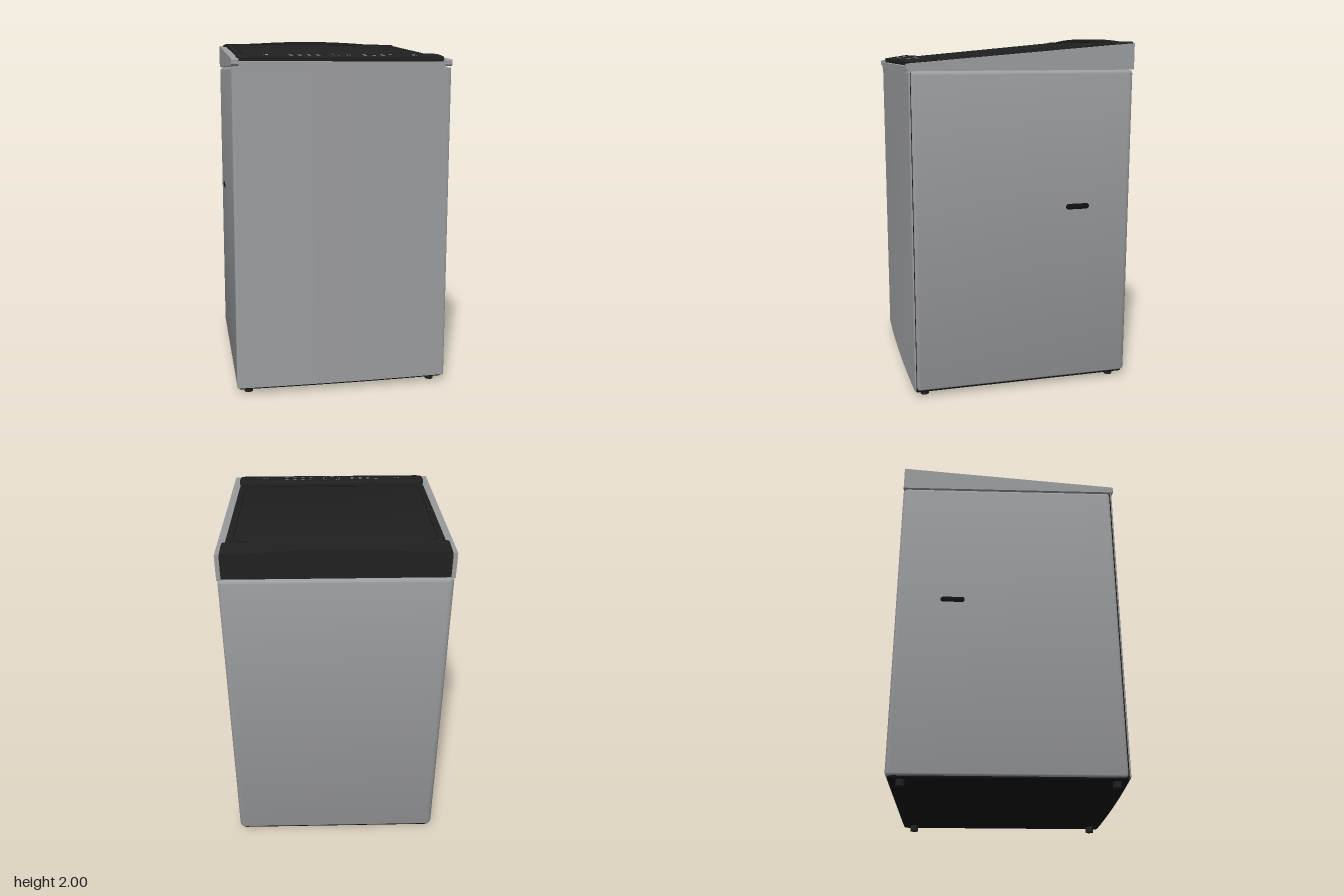
import * as THREE from 'three';
import { toCreasedNormals } from 'three/addons/utils/BufferGeometryUtils.js';

const material = (name, color) => {
  const m = new THREE.MeshStandardMaterial({ color });
  m.name = name;
  return m;
};

// Plan outline with rounded corners and an optional bowed front (shape y is -z).
function plan(w, zBack, zFront, rBack, rFrontX, rFrontZ = rFrontX, bow = 0) {
  const s = new THREE.Shape();
  s.moveTo(-w, -zFront + rFrontZ);
  s.quadraticCurveTo(-w, -zFront, -w + rFrontX, -zFront);
  if (bow) s.quadraticCurveTo(0, -zFront - 2 * bow, w - rFrontX, -zFront);
  else s.lineTo(w - rFrontX, -zFront);
  s.quadraticCurveTo(w, -zFront, w, -zFront + rFrontZ);
  s.lineTo(w, -zBack - rBack);
  s.quadraticCurveTo(w, -zBack, w - rBack, -zBack);
  s.lineTo(-w + rBack, -zBack);
  s.quadraticCurveTo(-w, -zBack, -w, -zBack - rBack);
  s.closePath();
  return s;
}

// Horizontal slab from y0 to y1 with rounded top and bottom edges.
function slab(shape, y0, y1, bevel = 0) {
  const g = new THREE.ExtrudeGeometry(shape, {
    depth: y1 - y0 - 2 * bevel, bevelEnabled: bevel > 0, bevelThickness: bevel,
    bevelSize: bevel, bevelOffset: -bevel, bevelSegments: 4, curveSegments: 16,
  });
  g.rotateX(-Math.PI / 2).translate(0, y0 + bevel, 0);
  return toCreasedNormals(g, 0.6);
}

// Side profile of [z, y] points extruded from x0 to x1.
function sideProfile(points, x0, x1) {
  const s = new THREE.Shape(points.map(([z, y]) => new THREE.Vector2(-z, y)));
  const g = new THREE.ExtrudeGeometry(s, { depth: x1 - x0, bevelEnabled: false });
  return g.rotateY(Math.PI / 2).translate(x0, 0, 0);
}

export function createModel() {
  const silver = material('silver', 0x9c9d9f);
  const black = material('black', 0x202021);
  const seamBlack = material('seam black', 0x111111);
  const light = material('light marking', 0xb4b6b8);

  const root = new THREE.Group();
  root.name = 'washingMachine';
  const add = (name, geometry, mat, parent = root) => {
    const m = new THREE.Mesh(geometry, mat);
    m.name = name;
    parent.add(m);
    return m;
  };

  // Cabinet, shadow seam and bowed front panel
  add('cabinet', slab(plan(0.605, -0.64, 0.618, 0.035, 0.022), 0.04, 1.828, 0.02), silver);
  add('frontSeam', slab(plan(0.594, 0.58, 0.625, 0.002, 0.004), 0.045, 1.82), seamBlack);
  add('frontPanel', slab(plan(0.605, 0.621, 0.63, 0.001, 0.022, 0.008, 0.01), 0.042, 1.824), silver);
  add('basePlate', slab(plan(0.592, -0.628, 0.622, 0.03, 0.022, 0.01, 0.01), 0.033, 0.05), seamBlack);

  for (const side of [-1, 1]) {
    // Feet
    for (const z of [-0.562, 0.565]) {
      add('foot', new THREE.CylinderGeometry(0.024, 0.024, 0.04, 24), black)
        .position.set(side * 0.536, 0.02, z);
    }
    // Carrying grips
    const grip = new THREE.CapsuleGeometry(0.016, 0.106, 6, 16);
    grip.rotateX(Math.PI / 2).scale(0.25, 1, 1);
    add('sideGrip', grip, seamBlack).position.set(side * 0.605, 1.065, -0.32);
    // Sloped side rails of the top frame
    const [x0, x1] = side > 0 ? [0.566, 0.606] : [-0.606, -0.566];
    add('sideRail', sideProfile(
      [[0.632, 1.831], [0.64, 1.84], [0.64, 1.862], [0.634, 1.868], [-0.638, 1.974], [-0.638, 1.831]],
      x0, x1), silver);
  }

  // Deck between the rails
  add('topDeck', sideProfile(
    [[0.636, 1.815], [0.636, 1.854], [-0.62, 1.958], [-0.62, 1.815]], -0.566, 0.566), silver);

  // Arched rear housing
  const arch = new THREE.Shape();
  arch.moveTo(-0.583, 1.838);
  arch.lineTo(0.583, 1.838);
  arch.lineTo(0.583, 1.972);
  arch.quadraticCurveTo(0.58, 1.982, 0.56, 1.983);
  arch.lineTo(0.38, 1.986);
  arch.quadraticCurveTo(0, 2.014, -0.38, 1.986);
  arch.lineTo(-0.56, 1.983);
  arch.quadraticCurveTo(-0.58, 1.982, -0.583, 1.972);
  arch.closePath();
  const housing = new THREE.ExtrudeGeometry(arch, { depth: 0.127, bevelEnabled: false, curveSegments: 24 });
  add('rearHousing', toCreasedNormals(housing.translate(0, 0, -0.64), 0.5), black);

  // Sloped lid with an inset outline and a finger slot
  const lid = new THREE.Group();
  lid.name = 'lid';
  lid.position.y = 1.932;
  lid.rotation.x = 0.0925;
  root.add(lid);
  add('lidPanel', slab(plan(0.564, -0.53, 0.468, 0.005, 0.07), -0.03, 0, 0.004), black, lid);
  const outline = plan(0.528, -0.506, 0.418, 0.06, 0.06);
  outline.holes.push(plan(0.525, -0.503, 0.415, 0.058, 0.058));
  add('lidOutline', slab(outline, -0.001, 0.001), seamBlack, lid);
  add('lidFingerSlot', slab(plan(0.2, 0.436, 0.442, 0.002, 0.002), -0.001, 0.001), seamBlack, lid);

  // Control panel with dial ring, buttons and indicator dashes
  const panel = new THREE.Group();
  panel.name = 'controlPanel';
  panel.position.set(0, 1.891, 0.548);
  panel.rotation.x = 0.15;
  root.add(panel);
  add('controlFascia', slab(plan(0.573, -0.074, 0.074, 0.04, 0.04), -0.034, 0, 0.005), black, panel);
  const ring = (name, x, z, r, t) => {
    const g = new THREE.RingGeometry(r - t, r, 48).rotateX(-Math.PI / 2);
    add(name, g, light, panel).position.set(x, 0.0015, z);
  };
  ring('dialRing', 0, 0.002, 0.054, 0.003);
  for (const side of [-1, 1]) {
    ring('buttonRing', side * 0.413, 0.007, 0.015, 0.003);
    add('buttonMark', new THREE.BoxGeometry(0.003, 0.002, 0.01), light, panel)
      .position.set(side * 0.413, 0.001, 0.005);
    for (const x of [0.13, 0.18, 0.23, 0.28]) {
      for (const z of [-0.013, 0.026]) {
        add('indicatorDash', new THREE.BoxGeometry(0.018, 0.002, 0.004), light, panel)
          .position.set(side * x, 0.001, z);
      }
    }
  }
  return root;
}
